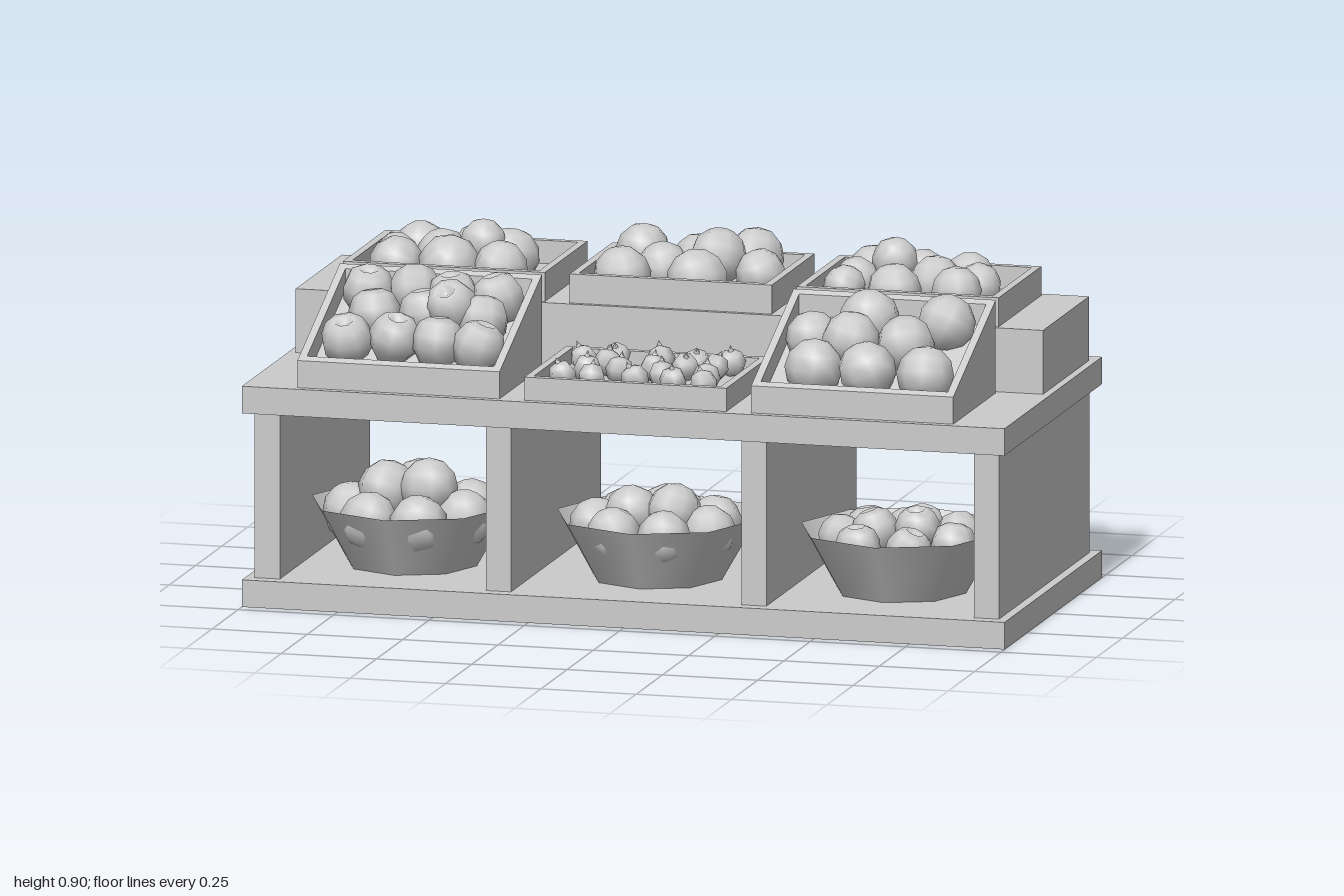
import * as THREE from 'three';

const grey = new THREE.MeshStandardMaterial({ color: 0xcccccc });
const thin = new THREE.MeshStandardMaterial({ color: 0xcccccc, side: THREE.DoubleSide });

function add(parent, name, geometry, x = 0, y = 0, z = 0, material = grey) {
  const m = new THREE.Mesh(geometry, material);
  m.name = name;
  m.position.set(x, y, z);
  parent.add(m);
  return m;
}

// Box from its limits
function slab(parent, name, x0, x1, y0, y1, z0, z1) {
  return add(parent, name, new THREE.BoxGeometry(x1 - x0, y1 - y0, z1 - z0),
    (x0 + x1) / 2, (y0 + y1) / 2, (z0 + z1) / 2);
}

// Side profile of [z, y] corners, extruded across x
function prism(parent, name, corners, x0, x1) {
  const shape = new THREE.Shape(corners.map(([z, y]) => new THREE.Vector2(z, y)));
  const g = new THREE.ExtrudeGeometry(shape, { depth: x1 - x0, bevelEnabled: false });
  g.rotateY(-Math.PI / 2);
  return add(parent, name, g, x1);
}

// Open crate whose rim slopes from the back height to the front height
function crate(parent, name, x, z0, z1, y, hBack, hFront, depth) {
  const g = new THREE.Group(), w = 0.265, t = 0.02;
  g.name = name;
  const rim = z => y + hBack + (hFront - hBack) * (z - z0) / (z1 - z0);
  const profile = (a, b, drop) => [[a, y], [b, y], [b, rim(b) - drop], [a, rim(a) - drop]];
  prism(g, 'rightSide', profile(z0, z1, 0), x - w, x - w + t);
  prism(g, 'leftSide', profile(z0, z1, 0), x + w - t, x + w);
  prism(g, 'backWall', profile(z0, z0 + t, 0), x - w + t, x + w - t);
  prism(g, 'frontWall', profile(z1 - t, z1, 0), x - w + t, x + w - t);
  prism(g, 'crateFloor', profile(z0 + t, z1 - t, depth), x - w + t, x + w - t);
  parent.add(g);
  return rim;
}

// Low-poly produce of unit radius
const roundFruit = new THREE.SphereGeometry(1, 9, 6);
const berry = new THREE.SphereGeometry(1, 6, 4);
const berryStem = new THREE.ConeGeometry(0.25, 0.5, 5);
const dimpled = new THREE.LatheGeometry([[0, -0.9], [0.6, -0.82], [0.95, -0.25], [0.97, 0.25],
  [0.75, 0.75], [0.38, 0.95], [0.25, 0.75], [0, 0.65]].map(p => new THREE.Vector2(...p)), 8);

let turn = 0;
function produce(parent, kind, x, y, z, r) {
  const geometry = { fruit: roundFruit, dimpledFruit: dimpled, berry }[kind];
  const m = add(parent, kind, geometry, x, y, z);
  turn += 1;
  m.scale.setScalar(r);
  m.rotation.set(0.4 * Math.sin(turn * 2.1), turn * 1.7, 0.4 * Math.cos(turn * 1.3));
  if (kind === 'berry') add(m, 'berryStem', berryStem, 0, 1.1, 0);
}

export function createModel() {
  const model = new THREE.Group();
  model.name = 'produceStand';

  // Stand: two boards, four uprights and a raised rear step
  slab(model, 'baseBoard', -1, 1, 0, 0.07, -0.465, 0.465);
  slab(model, 'counterBoard', -1, 1, 0.5, 0.57, -0.465, 0.465);
  for (const x of [-0.943, -0.337, 0.333, 0.943])
    slab(model, 'upright', x - 0.033, x + 0.033, 0.07, 0.5, -0.43, 0.43);
  slab(model, 'rearStep', -0.98, 0.98, 0.57, 0.735, -0.415, 0.025);

  // Rear crates: [x, z, radius, lift]
  const rear = [
    [[-0.74, -0.3, 0.07], [-0.59, -0.32, 0.07], [-0.78, -0.21, 0.055], [-0.66, -0.22, 0.07],
      [-0.49, -0.245, 0.075], [-0.55, -0.2, 0.06, 0.045], [-0.615, -0.11, 0.08],
      [-0.75, -0.1, 0.07], [-0.48, -0.11, 0.07]],
    [[-0.165, -0.325, 0.07, 0.02], [-0.02, -0.33, 0.07], [0.13, -0.325, 0.075, 0.02],
      [-0.08, -0.21, 0.07], [0.06, -0.225, 0.075, 0.035], [0.175, -0.21, 0.065],
      [-0.16, -0.105, 0.075], [0.04, -0.1, 0.08]],
    [[0.445, -0.31, 0.07], [0.57, -0.32, 0.065], [0.695, -0.31, 0.065], [0.43, -0.2, 0.06],
      [0.52, -0.235, 0.06, 0.05], [0.63, -0.225, 0.07], [0.745, -0.21, 0.06],
      [0.555, -0.1, 0.07], [0.42, -0.12, 0.055], [0.71, -0.13, 0.065]],
  ];
  rear.forEach((items, i) => {
    crate(model, 'rearCrate', (i - 1) * 0.595, -0.395, 0.012, 0.735, 0.075, 0.075, 0.06);
    for (const [x, z, r, lift = 0] of items) produce(model, 'fruit', x, 0.79 + lift, z, r);
  });

  // Front crates: sloped at both ends, low in the middle
  const slopeL = crate(model, 'slopedCrate', -0.595, 0.04, 0.445, 0.57, 0.24, 0.07, 0.055);
  for (const [x, z, lift = 0] of [[-0.76, 0.13], [-0.64, 0.12], [-0.535, 0.14], [-0.417, 0.135],
    [-0.717, 0.225], [-0.588, 0.215], [-0.513, 0.23, 0.035], [-0.433, 0.23],
    [-0.76, 0.335], [-0.64, 0.32], [-0.525, 0.325], [-0.417, 0.335]])
    produce(model, 'dimpledFruit', x, slopeL(z) - 0.01 + lift, z, 0.068);

  const slopeR = crate(model, 'slopedCrate', 0.595, 0.04, 0.445, 0.57, 0.24, 0.07, 0.055);
  for (const [x, z, r, lift = 0] of [[0.555, 0.135, 0.08], [0.755, 0.13, 0.075],
    [0.43, 0.22, 0.07], [0.54, 0.26, 0.075, 0.025], [0.675, 0.225, 0.075],
    [0.465, 0.34, 0.075], [0.605, 0.34, 0.075], [0.76, 0.345, 0.075]])
    produce(model, 'fruit', x, slopeR(z) - 0.01 + lift, z, r);

  crate(model, 'lowCrate', 0, 0.04, 0.445, 0.57, 0.06, 0.06, 0.04);
  for (const [x, z] of [[-0.19, 0.15], [-0.115, 0.105], [0, 0.105], [0.1, 0.125], [0.185, 0.1],
    [-0.12, 0.18], [0.01, 0.215], [0.085, 0.185], [0.16, 0.17], [-0.15, 0.265], [-0.065, 0.265],
    [0.053, 0.29], [0.17, 0.29], [-0.19, 0.355], [-0.11, 0.365], [0, 0.355], [0.1, 0.355],
    [0.185, 0.37]])
    produce(model, 'berry', x, 0.623, z, 0.037);

  // Bowls below the counter, each with a ring of fruit and a few on top
  const bowls = [[-0.643, 0.075, 0.275, 'fruit'], [0, 0.07, 0.25, 'fruit'],
    [0.64, 0.06, 0.235, 'dimpledFruit']];
  for (const [x, r, top, kind] of bowls) {
    const bowl = new THREE.Group();
    bowl.name = 'bowl';
    bowl.position.set(x, 0.07, 0.14);
    add(bowl, 'bowlWall', new THREE.CylinderGeometry(0.262, 0.17, 0.16, 8, 1, true), 0, 0.08, 0, thin);
    add(bowl, 'bowlFloor', new THREE.CylinderGeometry(0.172, 0.17, 0.01, 8), 0, 0.006, 0);
    for (let i = 0; i < 7; i++) {
      const a = i / 7 * Math.PI * 2 + 0.3;
      produce(bowl, kind, 0.155 * Math.cos(a), 0.13, 0.155 * Math.sin(a), r);
    }
    for (let i = 0; i < 3; i++) {
      const a = i / 3 * Math.PI * 2 + 0.6;
      produce(bowl, kind, 0.065 * Math.cos(a), top - 0.07 - i * 0.012, 0.065 * Math.sin(a), r);
    }
    model.add(bowl);
  }
  return model;
}
